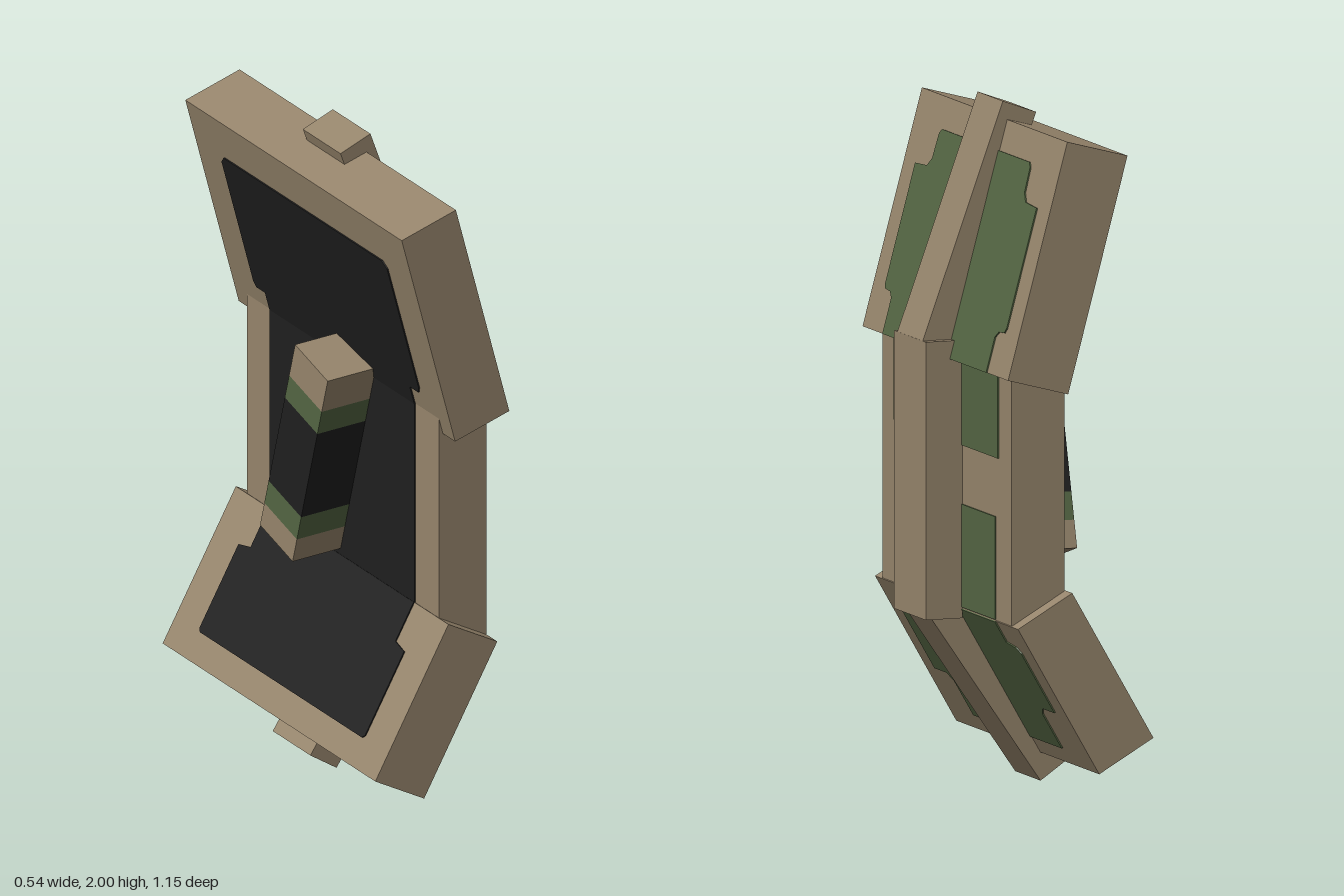
import * as THREE from 'three';

const mat = (name, color) => {
  const m = new THREE.MeshStandardMaterial({ color });
  m.name = name;
  return m;
};

export function createModel() {
  const tan = mat('tan', 0x96856c);
  const green = mat('green', 0x546643);
  const black = mat('black', 0x1f1f1f);
  const PLATE = 0.004;

  const model = new THREE.Group();
  model.name = 'shield';

  const box = (parent, name, size, pos, material) => {
    const mesh = new THREE.Mesh(new THREE.BoxGeometry(...size), material);
    mesh.position.set(...pos);
    mesh.name = name;
    parent.add(mesh);
    return mesh;
  };

  // Thin symmetric paint plate; half is a list of [half width, height] from bottom to top
  const paint = (parent, name, half, x, material) => {
    const right = half.map(([w, y]) => new THREE.Vector2(w, y));
    const left = half.map(([w, y]) => new THREE.Vector2(-w, y)).reverse();
    const geo = new THREE.ExtrudeGeometry(new THREE.Shape([...right, ...left]),
      { depth: PLATE, bevelEnabled: false });
    geo.rotateY(Math.PI / 2);
    const mesh = new THREE.Mesh(geo, material);
    mesh.position.x = x;
    mesh.name = name;
    parent.add(mesh);
  };

  // Slab with green patches outside (+x) and a black lining inside (-x)
  const panel = (name, [t, l, w], [x, y], degrees, patches, lining) => {
    const group = new THREE.Group();
    group.name = name;
    group.position.set(x, y, 0);
    group.rotation.z = THREE.MathUtils.degToRad(degrees);
    box(group, name + 'Slab', [t, l, w], [0, 0, 0], tan);
    patches.forEach((p) => paint(group, name + 'Patch', p, t / 2, green));
    paint(group, name + 'Lining', lining, -t / 2 - PLATE, black);
    model.add(group);
  };

  panel('upperPanel', [0.194, 0.714, 1.15], [0, 1.575], 15,
    [[[0.41, -0.357], [0.41, -0.25], [0.43, -0.233], [0.47, -0.23], [0.48, -0.215],
      [0.48, 0.145], [0.39, 0.15], [0.365, 0.175], [0.36, 0.25], [0.345, 0.264]]],
    [[0.385, -0.357], [0.385, -0.243], [0.43, -0.243], [0.44, -0.225], [0.44, 0.2], [0.42, 0.22]]);

  panel('middlePanel', [0.165, 0.765, 1.02], [0.0675, 0.9075], 0,
    [[[0.41, 0.095], [0.41, 0.38]], [[0.39, -0.38], [0.39, -0.078]]],
    [[0.385, -0.36], [0.385, 0.35]]);

  panel('lowerPanel', [0.195, 0.506, 1.13], [-0.06, 0.3525], -30,
    [[[0.35, -0.196], [0.35, -0.075], [0.38, -0.052], [0.475, -0.052],
      [0.475, 0.155], [0.455, 0.172], [0.39, 0.182], [0.39, 0.253]]],
    [[0.43, -0.165], [0.44, -0.155], [0.44, 0.115], [0.385, 0.127], [0.385, 0.253]]);

  // Central spine in three lengths
  [
    ['upperRib', [0.11, 0.734, 0.2], [0.088, 1.636, 0], 19.9],
    ['middleRib', [0.115, 0.815, 0.25], [0.2075, 0.9025, 0], 0],
    ['lowerRib', [0.11, 0.594, 0.2], [0.021, 0.277, 0], -34.6],
  ].forEach(([name, size, pos, degrees]) => {
    box(model, name, size, pos, tan).rotation.z = THREE.MathUtils.degToRad(degrees);
  });

  // Leaning banded handle on the inner side
  const handle = new THREE.Group();
  handle.name = 'handle';
  handle.position.set(-0.1, 0.99, 0);
  handle.rotation.x = THREE.MathUtils.degToRad(16);
  const stops = [-0.338, -0.255, -0.172, 0.14, 0.223, 0.338];
  const bands = [['handleFoot', tan], ['lowerBand', green], ['grip', black],
    ['upperBand', green], ['handleHead', tan]];
  bands.forEach(([name, material], i) => {
    const h = stops[i + 1] - stops[i];
    box(handle, name, [0.17, h, 0.18], [0, stops[i] + h / 2, 0], material);
  });
  model.add(handle);

  return model;
}
